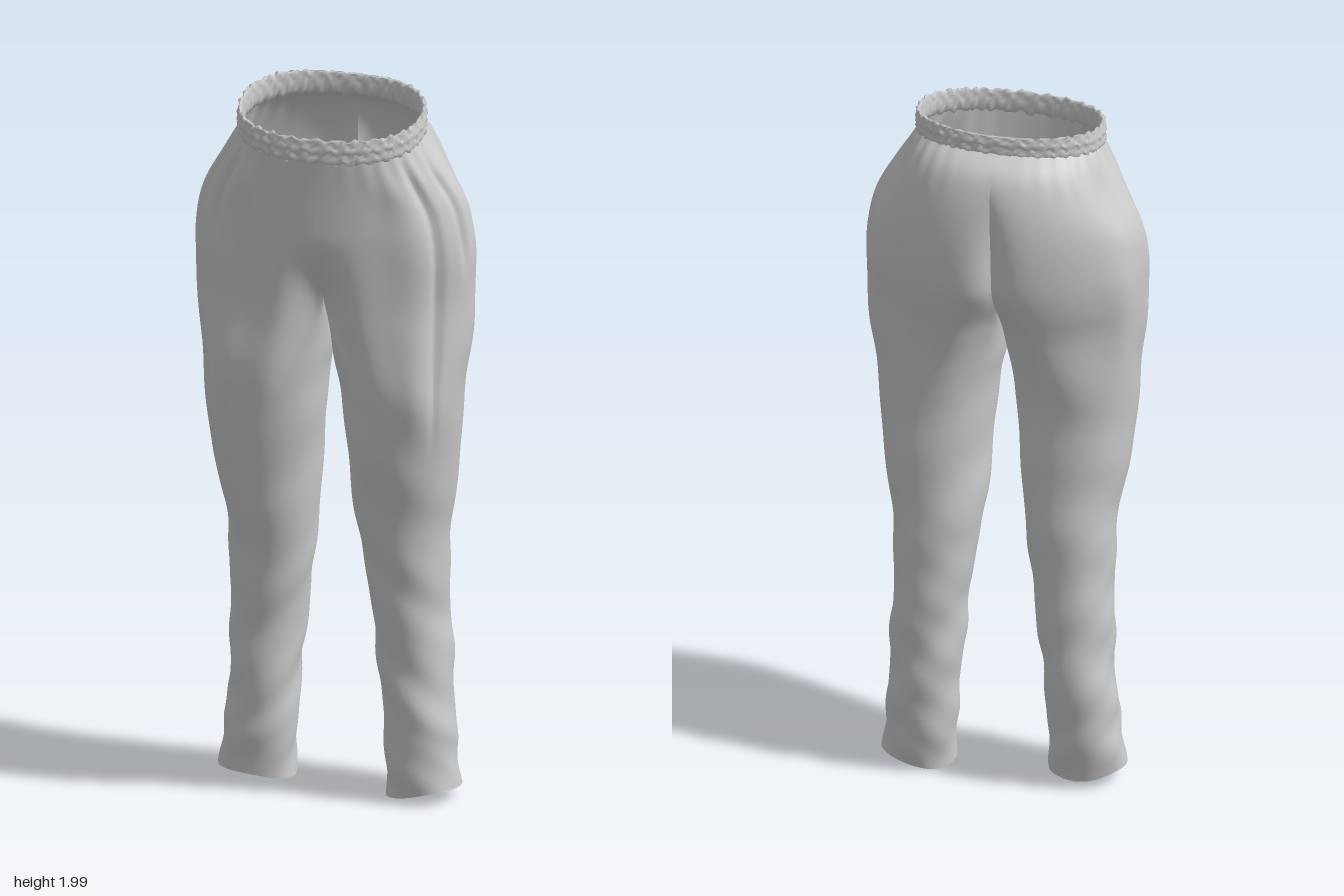
import * as THREE from 'three';

const material = new THREE.MeshStandardMaterial({ color: 0xcccccc, side: THREE.DoubleSide });
const step = THREE.MathUtils.smoothstep;
const mix = THREE.MathUtils.lerp;
const bump = (v, centre, width) => Math.exp(-(((v - centre) / width) ** 2));
const spow = (v, p) => Math.sign(v) * Math.abs(v) ** p;

// Fit by height: y, inner leg x, outer x, front z, back z
const fit = [
  [0.00, 0.130, 0.328, 0.050, -0.122],
  [0.20, 0.122, 0.312, 0.062, -0.150],
  [0.40, 0.107, 0.300, 0.066, -0.160],
  [0.60, 0.085, 0.296, 0.088, -0.161],
  [0.80, 0.056, 0.305, 0.120, -0.158],
  [1.00, 0.041, 0.335, 0.162, -0.150],
  [1.20, 0.021, 0.354, 0.190, -0.150],
  [1.40, 0.004, 0.376, 0.205, -0.193],
  [1.50, 0.000, 0.381, 0.208, -0.222],
  [1.60, 0.000, 0.378, 0.210, -0.239],
  [1.70, 0.000, 0.356, 0.211, -0.236],
  [1.78, 0.000, 0.306, 0.212, -0.214],
  [1.84, 0.000, 0.268, 0.214, -0.178],
  [1.88, 0.000, 0.247, 0.216, -0.130],
];
const fitCurve = new THREE.CubicInterpolant(
  fit.map((r) => r[0]), fit.flatMap((r) => r.slice(1)), 4, new Float32Array(4));

const CROTCH = 1.47, TOP = 1.88;
const WAIST_POWER = 0.87;
const COLS = 128, OUTER = 88;          // columns 0..OUTER run front seam, outside, back seam
const LEG_ROWS = 72, HIP_ROWS = 28;

// Hip outline: pointed at the sides over the hips, a fuller oval at the waist
function hipPoint(theta, level, out, front, back) {
  const waist = step(level, 1.68, TOP);
  const zc = mix(0.01, 0.045, waist);
  const c = Math.cos(theta);
  const p = mix(c > 0 ? 1.05 : 1.03, WAIST_POWER, waist);
  const x = out * spow(Math.max(0, Math.sin(theta)), p);
  let z = zc + (c > 0 ? front - zc : zc - back) * spow(c, p);
  if (c > 0) z -= 0.085 * bump(x, 0, 0.065) * (1 - step(level, 1.4, 1.66));
  else z += 0.048 * Math.exp(-x / 0.035) * (1 - step(level, 1.62, 1.84))
    + 0.05 * bump(x, 0, 0.07) * (1 - step(level, 1.4, 1.56));
  return [x, z];
}

// One point of a half of the trousers
function clothPoint(i, level, side) {
  const [inn, out, front, back] = fitCurve.evaluate(level);
  const onOuter = i <= OUTER;
  const t = onOuter ? i / OUTER : (i - OUTER) / (COLS - OUTER);
  const phi = onOuter ? mix(-0.5, Math.PI + 0.5, t) : mix(Math.PI + 0.5, 2 * Math.PI - 0.5, t);
  const cx = (inn + out) / 2, cz = (front + back) / 2;
  const legX = cx + (out - inn) / 2 * spow(Math.sin(phi), 0.93);
  const legZ = cz + (front - back) / 2 * spow(Math.cos(phi), 0.93);

  // Above the crotch the leg opens into the hip
  const w = step(level, 1.16, CROTCH);
  let hip;
  if (onOuter) hip = hipPoint(Math.PI * t, level, out, front, back);
  else {
    const a = hipPoint(Math.PI, level, out, front, back)[1];
    const b = hipPoint(0, level, out, front, back)[1];
    hip = [0, mix(a, b, t)];
  }
  let x = mix(legX, hip[0], w), z = mix(legZ, hip[1], w), y = level;

  // Folds, pleats and pocket openings
  const s = side > 0 ? 0 : 1.7;
  const low = 1 - step(level, 0.3, 1.1);
  const hang = 1 - step(level, 1.7, TOP);
  let d = (0.0015 + 0.0018 * low) * Math.sin(level * 27 + 3 * Math.sin(phi + s) + s)
    + 0.002 * Math.sin(level * 13 - 2 * phi + 2 * s)
    + 0.0015 * low * Math.sin(level * 46 + 4 * phi + s);
  d *= hang;
  if (onOuter) {
    const pleat = step(level, 1.0, 1.4) * (1 - step(level, 1.76, 1.87));
    d += pleat * (0.020 * bump(t, 0.235, 0.055) - 0.018 * bump(t, 0.31, 0.018));
    const pocket = step(level, 1.5, 1.64) * (1 - step(level, 1.76, 1.86));
    d += pocket * (0.004 * bump(t, 0.51, 0.04) - 0.014 * bump(t, 0.43, 0.018));
    const seat = step(level, 1.2, 1.4) * (1 - step(level, 1.56, 1.68));
    d += seat * 0.012 * bump(t, 0.66, 0.06);
    const backDart = step(level, 1.66, 1.74) * (1 - step(level, 1.78, 1.86));
    d -= backDart * 0.014 * bump(t, 0.61, 0.05);
    const gathers = step(level, 1.74, 1.84);
    d += gathers * 0.002 * Math.sin(t * 95 + s);
  }
  d *= 1 - w * (1 - (onOuter ? Math.sin(Math.PI * t) : 0));
  const dx = x - cx * (1 - 0.6 * w), dz = z - cz, r = Math.hypot(dx, dz) || 1;
  x += d * dx / r;
  z += d * dz / r;
  if (w === 1 && (i === 0 || i === OUTER)) x = 0;
  x = Math.max(x, 0);

  // Arched crotch, sloping waist and slanted cuff
  if (!onOuter) y -= 0.08 * Math.sin(Math.PI * t) * w;
  y += step(level, 1.55, TOP) * 0.2 * (0.22 - z);
  const hem = 1 - step(level, 0, 0.3);
  const slope = side > 0 ? 0.2 : 0.12;
  y += hem * ((side > 0 ? 0.028 : 0.042) + slope * (x - 0.23) + 0.07 * (z + 0.04)
    + 0.003 * Math.sin(phi * 3 + s));
  return [side * x, Math.max(y, 0), z];
}

// Grid of rows; hip rows leave the inner-leg columns open
function trouserHalf(side) {
  const pos = [], index = [];
  const rows = LEG_ROWS + HIP_ROWS;
  for (let j = 0; j <= rows; j++) {
    const level = j <= LEG_ROWS ? CROTCH * j / LEG_ROWS
      : mix(CROTCH, TOP, (j - LEG_ROWS) / HIP_ROWS);
    for (let i = 0; i < COLS; i++) pos.push(...clothPoint(i, level, side));
  }
  for (let j = 0; j < rows; j++) {
    const n = j < LEG_ROWS ? COLS : OUTER;
    for (let i = 0; i < n; i++) {
      const a = j * COLS + i, b = j * COLS + (i + 1) % COLS;
      const c = a + COLS, e = b + COLS;
      if (side > 0) index.push(a, b, e, a, e, c);
      else index.push(a, e, b, a, c, e);
    }
  }
  return surface(pos, index);
}

function surface(pos, index) {
  const g = new THREE.BufferGeometry();
  g.setAttribute('position', new THREE.Float32BufferAttribute(pos, 3));
  g.setIndex(index);
  g.computeVertexNormals();
  return g;
}

// Gathered elastic band: closed profile of [outward offset, height] swept round the waist
function waistband() {
  const profile = [[-0.003, -0.010], [0.003, -0.006], [0.005, 0.008], [0.000, 0.016],
    [0.005, 0.024], [0.005, 0.036], [0.000, 0.042], [0.003, 0.054], [-0.002, 0.058],
    [-0.007, 0.052], [-0.006, 0.040], [-0.009, 0.028], [-0.009, 0.006]];
  const n = 320, m = profile.length, pos = [], index = [];
  for (let i = 0; i < n; i++) {
    const a = i / n * Math.PI * 2;
    const sx = spow(Math.sin(a), WAIST_POWER), cz = spow(Math.cos(a), WAIST_POWER);
    profile.forEach(([o, h], k) => {
      const ruffle = 0.002 * Math.sin(a * 37 + k * 1.9) + 0.0015 * Math.sin(a * 67 - k * 2.6);
      const z = 0.045 + (0.174 + o + ruffle) * cz;
      const lift = 0.003 * Math.sin(a * 29 + k) + 0.002 * Math.sin(a * 53);
      pos.push((0.248 + o + ruffle) * sx, Math.min(TOP + h + 0.2 * (0.22 - z) + lift, 2), z);
    });
    for (let k = 0; k < m; k++) {
      const p = i * m + k, q = ((i + 1) % n) * m + k;
      const p2 = i * m + (k + 1) % m, q2 = ((i + 1) % n) * m + (k + 1) % m;
      index.push(p, q, q2, p, q2, p2);
    }
  }
  return surface(pos, index);
}

export function createModel() {
  const group = new THREE.Group();
  group.name = 'trousers';
  const add = (name, geometry) => {
    const mesh = new THREE.Mesh(geometry, material);
    mesh.name = name;
    group.add(mesh);
  };
  add('leftTrouserHalf', trouserHalf(1));
  add('rightTrouserHalf', trouserHalf(-1));
  add('waistband', waistband());
  return group;
}
